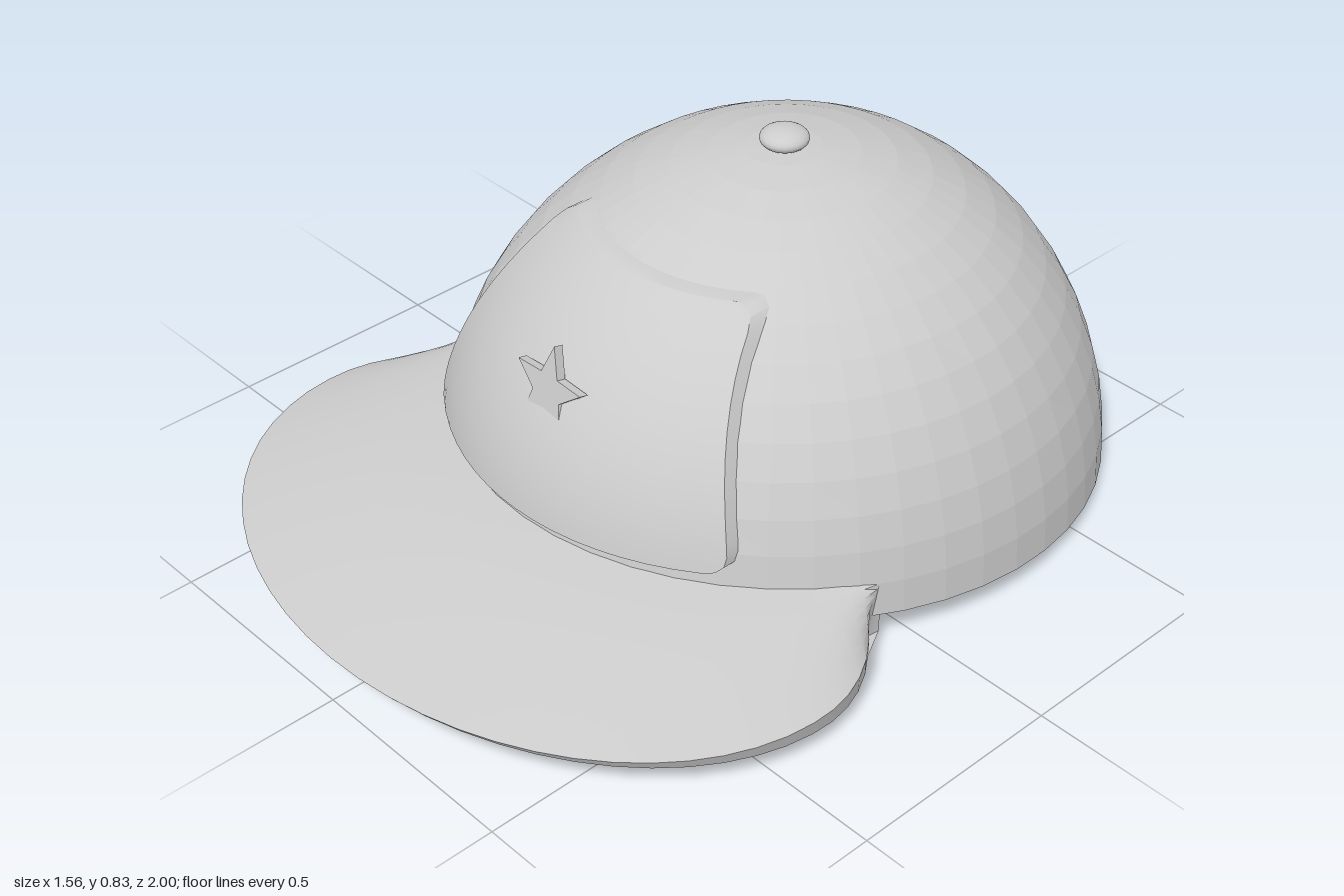
import * as THREE from 'three';
import { toCreasedNormals } from 'three/addons/utils/BufferGeometryUtils.js';

const RX = 0.71, RZ = 0.75, TOP = 0.79, CZ = -0.25; // crown radii, height and centre
const rimY = (z) => 0.062 + 0.077 * (z - CZ); // the open edge rises to the front
const lerp = THREE.MathUtils.lerp;

// Front z of the crown at a given x and y, grown outward by off
function crownZ(x, y, off) {
  let z = 0.3;
  for (let i = 0; i < 6; i++) {
    const h = (y - rimY(z)) / (TOP + off - rimY(z));
    z = CZ + (RZ + off) * Math.sqrt(Math.max(0, 1 - h * h - (x / (RX + off)) ** 2));
  }
  return z;
}

// Surface through rows of points; closed sections also get end caps
function skin(rows, closed) {
  const n = rows[0].length, index = [];
  for (let i = 0; i < rows.length - 1; i++) {
    for (let j = 0; j < (closed ? n : n - 1); j++) {
      const k = (j + 1) % n;
      const a = i * n + j, b = (i + 1) * n + j, c = i * n + k, d = (i + 1) * n + k;
      if (closed) index.push(a, b, c, b, d, c);
      else index.push(a, c, b, c, d, b);
    }
  }
  if (closed) {
    const e = (rows.length - 1) * n;
    for (let j = 1; j < n - 1; j++) index.push(0, j, j + 1, e, e + j + 1, e + j);
  }
  const g = new THREE.BufferGeometry();
  g.setAttribute('position', new THREE.Float32BufferAttribute(rows.flat(2), 3));
  g.setIndex(index);
  return toCreasedNormals(g, 0.6);
}

// Crown: a thin domed shell, sheared so that its rim slopes
function crownGeometry() {
  const steps = 14, t = 0.022, profile = [];
  for (let i = steps; i >= 0; i--) {
    const a = (i / steps) * Math.PI / 2;
    profile.push(new THREE.Vector2(Math.max(0, Math.cos(a)) * (1 - t / RX), Math.sin(a) * (1 - t / TOP)));
  }
  for (let i = 0; i <= steps; i++) {
    const a = (i / steps) * Math.PI / 2;
    profile.push(new THREE.Vector2(Math.max(0, Math.cos(a)), Math.sin(a)));
  }
  const g = new THREE.LatheGeometry(profile, 48).toNonIndexed();
  const p = g.attributes.position;
  for (let i = 0; i < p.count; i++) {
    const z = CZ + RZ * p.getZ(i);
    p.setXYZ(i, RX * p.getX(i), lerp(rimY(z), TOP, p.getY(i)), z);
  }
  g.computeVertexNormals();
  return g;
}

// Brim: cross-sections swept round the front of the crown
function brimGeometry() {
  const rows = [], steps = 40, across = 6;
  const under = (z) => 0.04 + 0.07 * (z - 0.13);
  for (let i = 0; i <= steps; i++) {
    const f = i / steps;
    const phi = lerp(0.46, Math.PI - 0.46, f), t = lerp(-0.62, Math.PI + 0.62, f);
    const inX = RX * 0.985 * Math.cos(phi), inZ = CZ + RZ * 0.985 * Math.sin(phi);
    const outX = 0.78 * Math.cos(t);
    const outZ = 0.4 + (Math.sin(t) > 0 ? 0.595 : 0.48) * Math.sin(t);
    const inY = 0.172 + 0.026 * Math.sin(f * Math.PI), outY = 0.097 + 0.016 * outZ;
    const section = [];
    for (let j = 0; j <= across; j++) {
      const s = j / across;
      section.push([lerp(inX, outX, s), lerp(inY, outY, s ** 1.35), lerp(inZ, outZ, s)]);
    }
    section.push([outX * 0.985, under(outZ), outZ - 0.01], [inX, under(inZ), inZ]);
    rows.push(section);
  }
  return skin(rows, true);
}

// Front panel: rounded trapezoid that follows the crown, with a skirt sunk into it
function panelGeometry() {
  const n = 16, r = 0.035, y0 = 0.225, y1 = 0.677, rows = [];
  for (let i = -1; i <= n + 1; i++) {
    const v = 0.5 - 0.5 * Math.cos(Math.PI * THREE.MathUtils.clamp(i / n, 0, 1));
    const y = lerp(y0, y1, v), d = Math.min(r, y - y0, y1 - y);
    const w = 0.45 - 0.175 * v ** 1.4 - (r - Math.sqrt(Math.max(0, r * r - (r - d) ** 2)));
    const row = [];
    for (let j = -1; j <= n + 1; j++) {
      const x = w * (2 * THREE.MathUtils.clamp(j / n, 0, 1) - 1);
      const edge = i < 0 || j < 0 || i > n || j > n;
      row.push([x, y, crownZ(x, y, edge ? -0.012 : 0.02)]);
    }
    rows.push(row);
  }
  return skin(rows, false);
}

// Star badge: extruded five-pointed star
function starGeometry() {
  const points = [];
  for (let i = 0; i < 10; i++) {
    const a = Math.PI / 2 + (i * Math.PI) / 5, r = i % 2 ? 0.042 : 0.1;
    points.push(new THREE.Vector2(r * Math.cos(a), r * Math.sin(a)));
  }
  const g = new THREE.ExtrudeGeometry(new THREE.Shape(points), { depth: 0.022, bevelEnabled: false });
  return g.translate(0, 0, -0.011);
}

export function createModel() {
  const cap = new THREE.Group();
  cap.name = 'cap';
  const grey = new THREE.MeshStandardMaterial({ color: 0xcccccc });
  grey.name = 'light grey';

  const add = (name, geometry) => {
    const mesh = new THREE.Mesh(geometry, grey);
    mesh.name = name;
    cap.add(mesh);
    return mesh;
  };

  add('crown', crownGeometry());
  add('brim', brimGeometry());
  add('frontPanel', panelGeometry());

  const star = add('starBadge', starGeometry());
  star.position.set(0, 0.478, 0.408);
  star.rotation.x = -0.25;

  const button = add('topButton', new THREE.SphereGeometry(0.054, 24, 12));
  button.scale.y = 0.45;
  button.position.set(0, 0.806, CZ);

  return cap;
}
